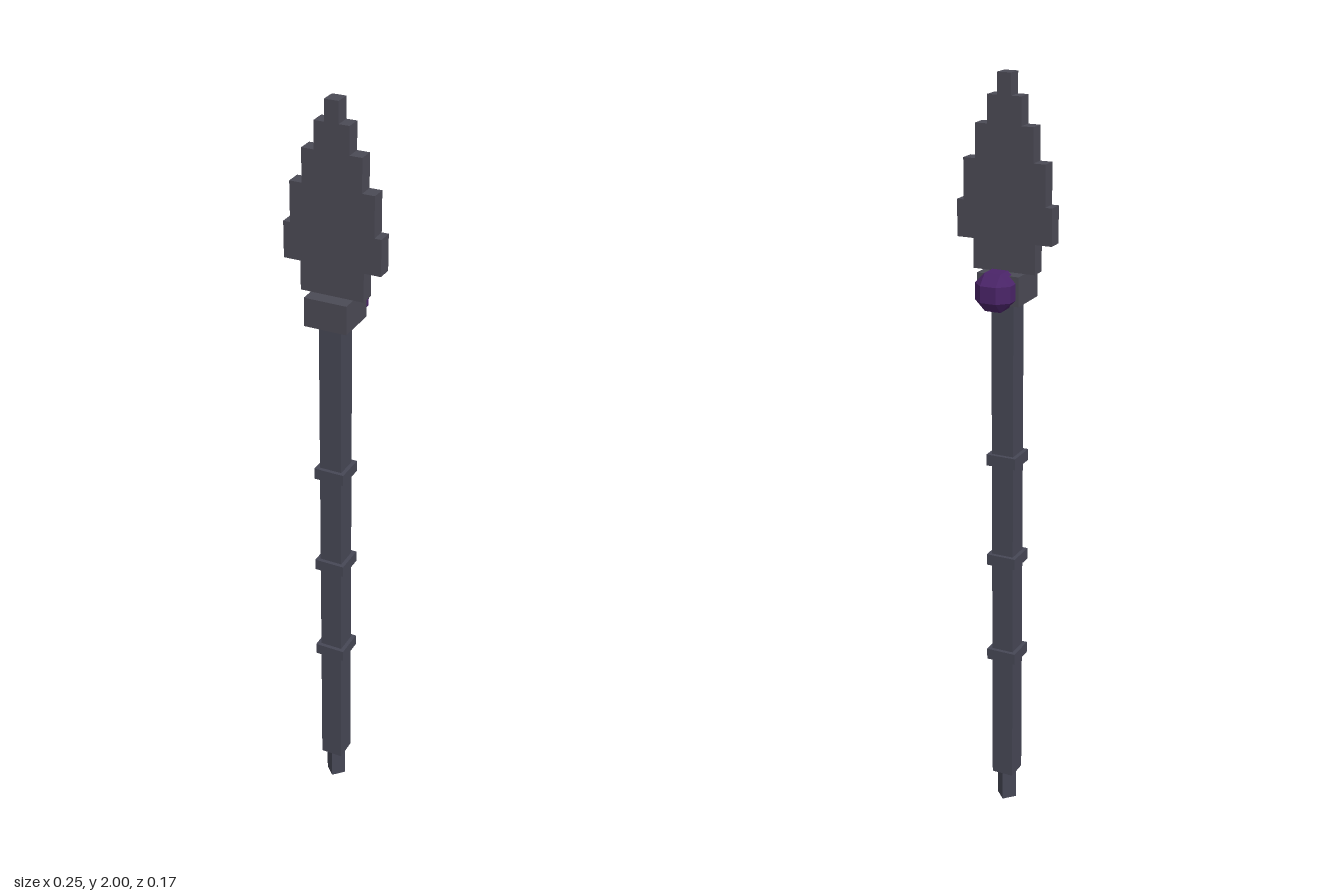
import * as THREE from 'three';
import { ConvexGeometry } from 'three/addons/geometries/ConvexGeometry.js';

const AXIS_Z = 0.028; // the shaft sits slightly forward of the gem

export function createModel() {
  const group = new THREE.Group();
  const steel = new THREE.MeshStandardMaterial({ name: 'dark steel', color: 0x4b4a55 });
  const shaftMat = new THREE.MeshStandardMaterial({ name: 'blue grey shaft', color: 0x464755 });
  const purple = new THREE.MeshStandardMaterial({ name: 'deep purple', color: 0x4a2468 });

  const add = (name, geometry, material, y, z = AXIS_Z) => {
    const mesh = new THREE.Mesh(geometry, material);
    mesh.name = name;
    mesh.position.set(0, y, z);
    group.add(mesh);
    return mesh;
  };
  // square block between two heights
  const block = (name, width, y0, y1, material) =>
    add(name, new THREE.BoxGeometry(width, y1 - y0, width), material, (y0 + y1) / 2);

  // Shaft with a small diamond-section foot
  block('shaft', 0.06, 0.085, 1.447, shaftMat);
  const foot = new THREE.CylinderGeometry(0.028, 0.028, 0.085, 4).toNonIndexed();
  foot.computeVertexNormals();
  add('foot', foot, shaftMat, 0.0425);

  // Grip rings and collar
  for (const y of [0.46, 0.742, 1.025]) block('gripRing', 0.081, y - 0.015, y + 0.015, shaftMat);
  block('collar', 0.112, 1.447, 1.522, steel);

  // Stepped blade: [half width, bottom, top] of each step, mirrored
  const steps = [
    [0.083, 1.522, 1.597], [0.127, 1.597, 1.69], [0.109, 1.69, 1.793],
    [0.077, 1.793, 1.878], [0.045, 1.878, 1.947], [0.018, 1.947, 2],
  ];
  const side = steps.flatMap(([w, y0, y1]) => [new THREE.Vector2(w, y0), new THREE.Vector2(w, y1)]);
  const mirrored = side.map((p) => new THREE.Vector2(-p.x, p.y)).reverse();
  const bladeGeo = new THREE.ExtrudeGeometry(new THREE.Shape([...side, ...mirrored]),
    { depth: 0.04, bevelEnabled: false });
  add('blade', bladeGeo, steel, 0, 0.007);

  // Faceted gem: a cube with cut edges and corners
  const points = [];
  const a = 0.021, b = 0.048;
  for (const sx of [-1, 1]) for (const sy of [-1, 1]) for (const sz of [-1, 1]) {
    for (const [x, y, z] of [[b, a, a], [a, b, a], [a, a, b]]) {
      points.push(new THREE.Vector3(sx * x, sy * y, sz * z));
    }
  }
  add('gem', new ConvexGeometry(points), purple, 1.484, -0.036);

  return group;
}
